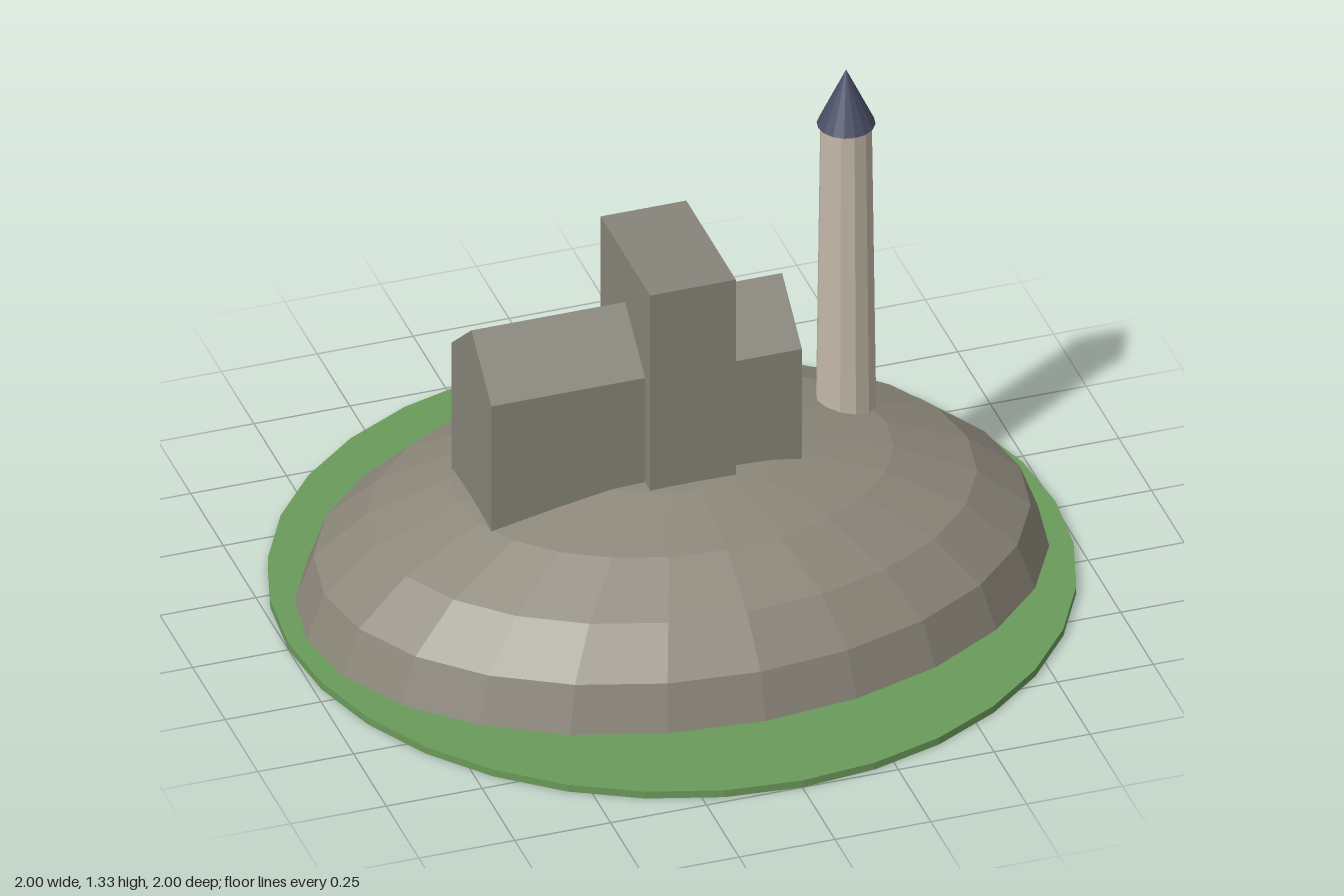
import * as THREE from 'three';

const mat = (name, color) => {
  const m = new THREE.MeshStandardMaterial({ color, flatShading: true });
  m.name = name;
  return m;
};

export function createModel() {
  const grass = mat('grass green', 0x6a9a5a);
  const rock = mat('rock grey', 0x8c877a);
  const stone = mat('stone grey', 0x87857a);
  const paleStone = mat('pale stone', 0xc4b9aa);
  const slate = mat('slate blue', 0x4a4e66);

  const group = new THREE.Group();
  const add = (name, geometry, material, x = 0, y = 0, z = 0) => {
    const mesh = new THREE.Mesh(geometry, material);
    mesh.name = name;
    mesh.position.set(x, y, z);
    group.add(mesh);
    return mesh;
  };

  // Round grass base
  add('grassBase', new THREE.CylinderGeometry(1, 1, 0.02, 32), grass, 0, 0.01, 0);

  // Oval rocky hill: upper half of a squashed sphere
  const dome = new THREE.SphereGeometry(1, 24, 5, 0, Math.PI * 2, 0, Math.PI / 2);
  dome.scale(0.953, 0.4, 0.715);
  add('hill', dome, rock, 0, 0.02, 0);

  // Gabled hall, ridge running along x, sunk into the hill
  const gable = new THREE.Shape([
    [-0.153, 0.25], [0.153, 0.25], [0.153, 0.71], [0, 0.84], [-0.153, 0.71],
  ].map(([x, y]) => new THREE.Vector2(x, y)));
  const hall = new THREE.ExtrudeGeometry(gable, { depth: 0.81, bevelEnabled: false });
  hall.rotateY(Math.PI / 2);
  add('hall', hall, stone, -0.523, 0, 0);

  // Square central tower
  add('squareTower', new THREE.BoxGeometry(0.224, 0.725, 0.38), stone, -0.01, 0.6125, 0);

  // Slender round tower with a conical cap
  add('roundTower', new THREE.CylinderGeometry(0.065, 0.077, 0.92, 12), paleStone, 0.493, 0.71, -0.115);
  add('towerCap', new THREE.ConeGeometry(0.073, 0.157, 16), slate, 0.493, 1.2465, -0.115);

  return group;
}
